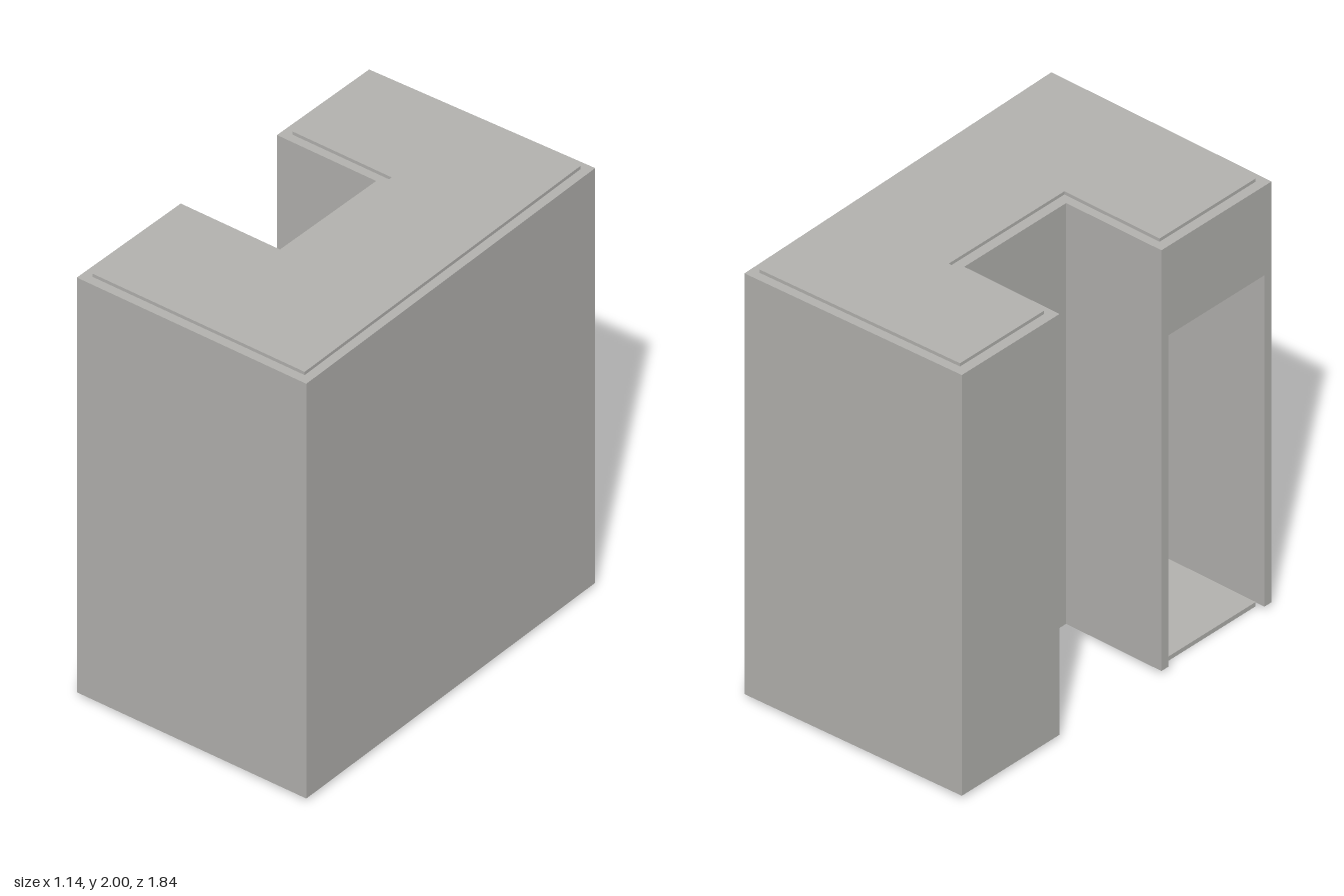
import * as THREE from 'three';

// Plan outlines as [x, z], running from the doorway's inner corner round to its outer corner
const OUTER = [[-0.575, 0.275], [-0.08, 0.275], [-0.08, -0.32], [-0.575, -0.32],
  [-0.575, -0.89], [0.527, -0.922], [0.57, 0.918], [-0.575, 0.918]];
const INNER = [[-0.53, 0.315], [-0.035, 0.315], [-0.035, -0.36], [-0.53, -0.36],
  [-0.53, -0.85], [0.487, -0.88], [0.528, 0.876], [-0.53, 0.876]];
const WALL_BOTTOM = 0.018, WALL_TOP = 1.985, DOOR_TOP = 1.567;

export function createModel() {
  const model = new THREE.Group();
  const grey = new THREE.MeshStandardMaterial({ color: 0xb4b3b0 });
  grey.name = 'concrete grey';

  // Upright prism over a plan outline
  const prism = (name, plan, y0, y1) => {
    const shape = new THREE.Shape(plan.map(([x, z]) => new THREE.Vector2(x, -z)));
    const geometry = new THREE.ExtrudeGeometry(shape, { depth: y1 - y0, bevelEnabled: false });
    geometry.rotateX(-Math.PI / 2).translate(0, y0, 0);
    const mesh = new THREE.Mesh(geometry, grey);
    mesh.name = name;
    model.add(mesh);
  };

  // Hollow walls, left open at the doorway
  const doorOuter = -0.575, doorNear = 0.315, doorFar = 0.876;
  const walls = [...OUTER, [doorOuter, doorFar], ...[...INNER].reverse(), [doorOuter, doorNear]];
  prism('walls', walls, WALL_BOTTOM, WALL_TOP);

  // Wall above the doorway
  prism('doorLintel', [[doorOuter, doorNear], [-0.53, doorNear], [-0.53, doorFar], [doorOuter, doorFar]],
    DOOR_TOP, WALL_TOP);

  // Inset floor and roof slabs, standing slightly proud of the walls
  prism('floorSlab', INNER, 0, 0.02);
  prism('roofSlab', INNER, 1.98, 2);

  return model;
}
